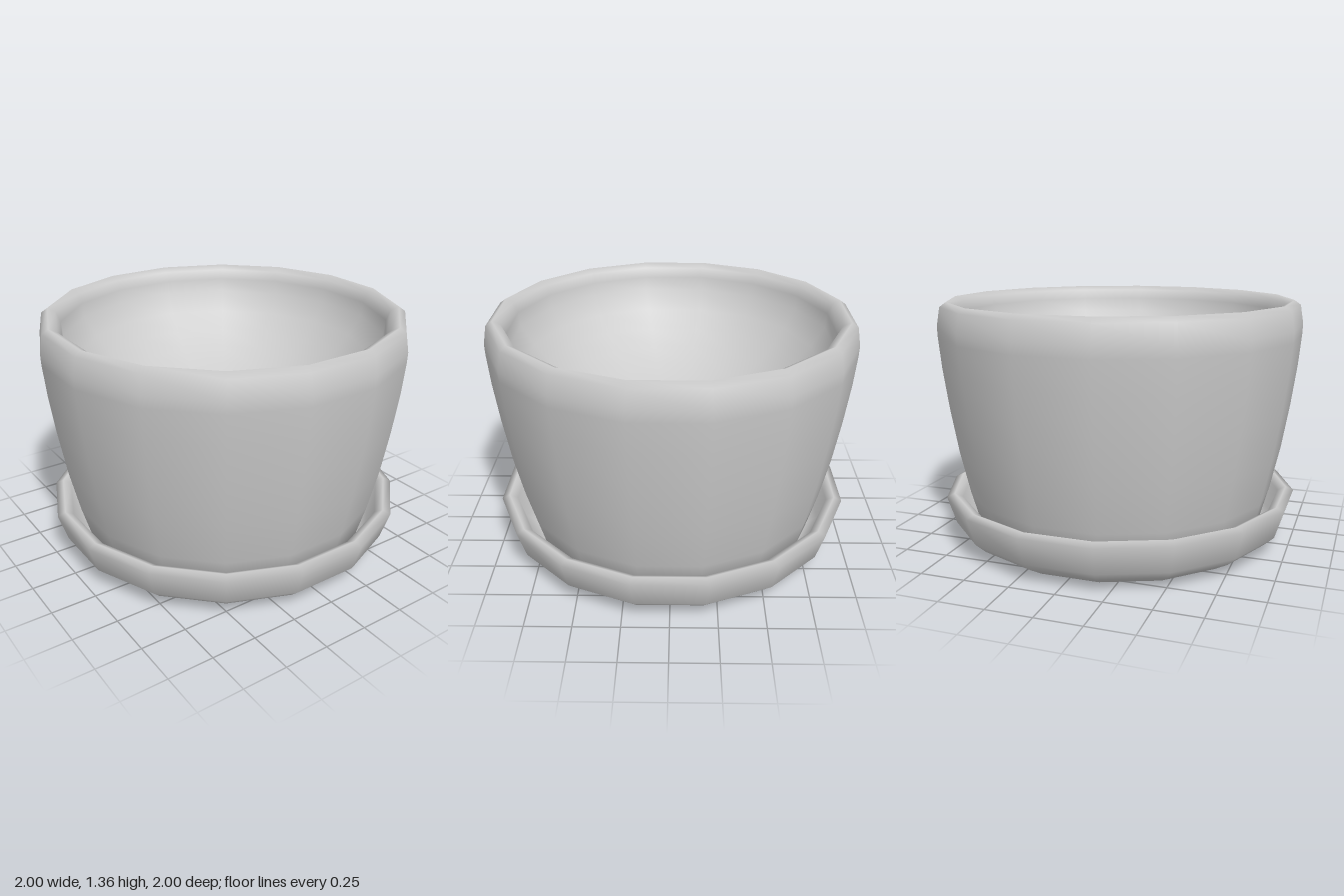
import * as THREE from 'three';

const SIDES = 16;
// Profiles give the distance to the flat sides; corners lie slightly further out.
const CORNER = 1 / Math.cos(Math.PI / SIDES);

function turned(name, profile) {
  const points = profile.map(([r, y]) => new THREE.Vector2(r * CORNER, y));
  const geometry = new THREE.LatheGeometry(points, SIDES, Math.PI / SIDES);
  const mesh = new THREE.Mesh(geometry, new THREE.MeshStandardMaterial({ color: 0xcccccc }));
  mesh.name = name;
  return mesh;
}

// Concave round hollow, from its edge (radius, y) down to the middle
function hollow(radius, y, edgeAngle, steps) {
  const curve = radius / Math.sin(edgeAngle);
  const points = [];
  for (let i = 0; i <= steps; i++) {
    const a = edgeAngle * (1 - i / steps);
    points.push([curve * Math.sin(a), y + curve * (Math.cos(edgeAngle) - Math.cos(a))]);
  }
  return points;
}

export function createModel() {
  const group = new THREE.Group();
  group.name = 'plantPot';

  // Shallow dish: underside, flared wall, rounded lip, inner wall and floor
  group.add(turned('saucer', [
    [0, 0], [0.8, 0], [0.89, 0.055], [0.945, 0.107], [0.993, 0.262],
    [0.95, 0.282], [0.905, 0.258], [0.865, 0.13], [0.78, 0.06], [0, 0.06],
  ]));

  // Pot: base, bulging wall, rounded rim, inner lip and the hollow inside
  group.add(turned('pot', [
    [0, 0.06], [0.8, 0.06], [0.86, 0.28], [0.912, 0.52], [0.953, 0.77],
    [0.983, 1.0], [0.998, 1.17], [1, 1.23], [0.983, 1.332], [0.948, 1.358],
    [0.905, 1.335], [0.882, 1.28], ...hollow(0.875, 1.2, Math.PI / 3, 8),
  ]));

  return group;
}
